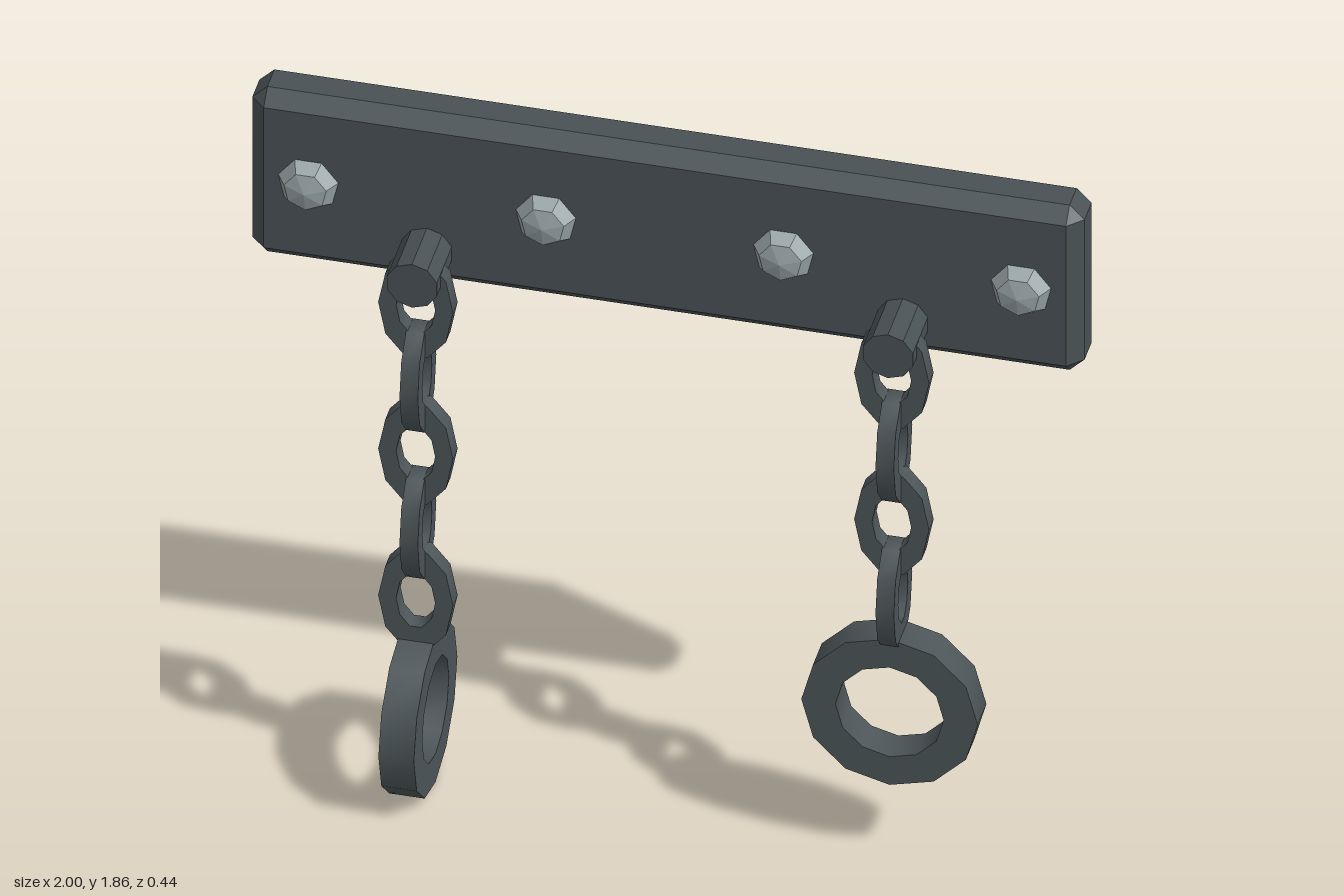
import * as THREE from 'three';
import { toCreasedNormals } from 'three/addons/utils/BufferGeometryUtils.js';
import { ConvexGeometry } from 'three/addons/geometries/ConvexGeometry.js';

const iron = new THREE.MeshStandardMaterial({ name: 'dark iron', color: 0x485154 });
const chainIron = new THREE.MeshStandardMaterial({ name: 'chain iron', color: 0x4b5457 });
const steel = new THREE.MeshStandardMaterial({ name: 'pale steel', color: 0x98a4a7 });

const CHAIN_Z = 0.007;

function add(parent, name, geometry, material, x, y, z) {
  const mesh = new THREE.Mesh(geometry, material);
  mesh.name = name;
  mesh.position.set(x, y, z);
  parent.add(mesh);
  return mesh;
}

// Box with every edge and corner chamfered by b
function chamferedBox(w, h, d, b) {
  const half = [w / 2, h / 2, d / 2];
  const points = [];
  for (const sx of [-1, 1]) for (const sy of [-1, 1]) for (const sz of [-1, 1]) {
    for (let axis = 0; axis < 3; axis++) {
      const c = half.map((v, i) => (i === axis ? v : v - b));
      points.push(new THREE.Vector3(c[0] * sx, c[1] * sy, c[2] * sz));
    }
  }
  return new ConvexGeometry(points);
}

// Flat polygonal ring or oval link, centred on the origin and facing z
function flatRing(sides, outerX, outerY, innerX, innerY, depth) {
  const loop = (rx, ry) => Array.from({ length: sides }, (_, i) => {
    const a = (i / sides) * Math.PI * 2;
    return new THREE.Vector2(Math.cos(a) * rx, Math.sin(a) * ry);
  });
  const shape = new THREE.Shape(loop(outerX, outerY));
  shape.holes.push(new THREE.Path(loop(innerX, innerY).reverse()));
  const geo = new THREE.ExtrudeGeometry(shape, { depth, bevelEnabled: false });
  geo.translate(0, 0, -depth / 2);
  return toCreasedNormals(geo, 1.0);
}

// Peg, alternating links and the shackle ring at the bottom
function hangingChain(name, x, linkCount, ringY) {
  const chain = new THREE.Group();
  chain.name = name;
  chain.position.x = x;

  const pegGeo = new THREE.CylinderGeometry(0.063, 0.063, 0.155, 10).toNonIndexed();
  pegGeo.computeVertexNormals();
  pegGeo.rotateX(Math.PI / 2);
  add(chain, 'peg', pegGeo, iron, 0, 1.48, -0.0125);

  const linkGeo = flatRing(10, 0.09, 0.15, 0.047, 0.08, 0.044);
  for (let i = 0; i < linkCount; i++) {
    const link = add(chain, 'chainLink', linkGeo, chainIron, 0, 1.391 - i * 0.2135, CHAIN_Z);
    if (i % 2) link.rotation.y = Math.PI / 2;
  }

  const ringGeo = flatRing(12, 0.212, 0.212, 0.13, 0.13, 0.085);
  const ring = add(chain, 'shackleRing', ringGeo, chainIron, 0, ringY, CHAIN_Z);
  if (linkCount % 2) ring.rotation.y = Math.PI / 2;
  return chain;
}

export function createModel() {
  const model = new THREE.Group();
  model.name = 'wallShackles';

  // Wall plate
  add(model, 'wallPlate', chamferedBox(2, 0.48, 0.14, 0.036), iron, 0, 1.62, -0.15);

  // Rivets: faceted, flattened domes
  const rivetGeo = new THREE.SphereGeometry(0.074, 7, 4).toNonIndexed();
  rivetGeo.rotateX(Math.PI / 2);
  rivetGeo.rotateZ(Math.PI / 2);
  rivetGeo.scale(1, 1, 0.6);
  rivetGeo.computeVertexNormals();
  for (let i = 0; i < 4; i++) {
    add(model, 'rivet', rivetGeo, steel, -0.857 + i * 0.571, 1.62, -0.08);
  }

  // Two chains of different length
  model.add(hangingChain('rightChain', -0.572, 5, 0.212));
  model.add(hangingChain('leftChain', 0.572, 4, 0.432));
  return model;
}
